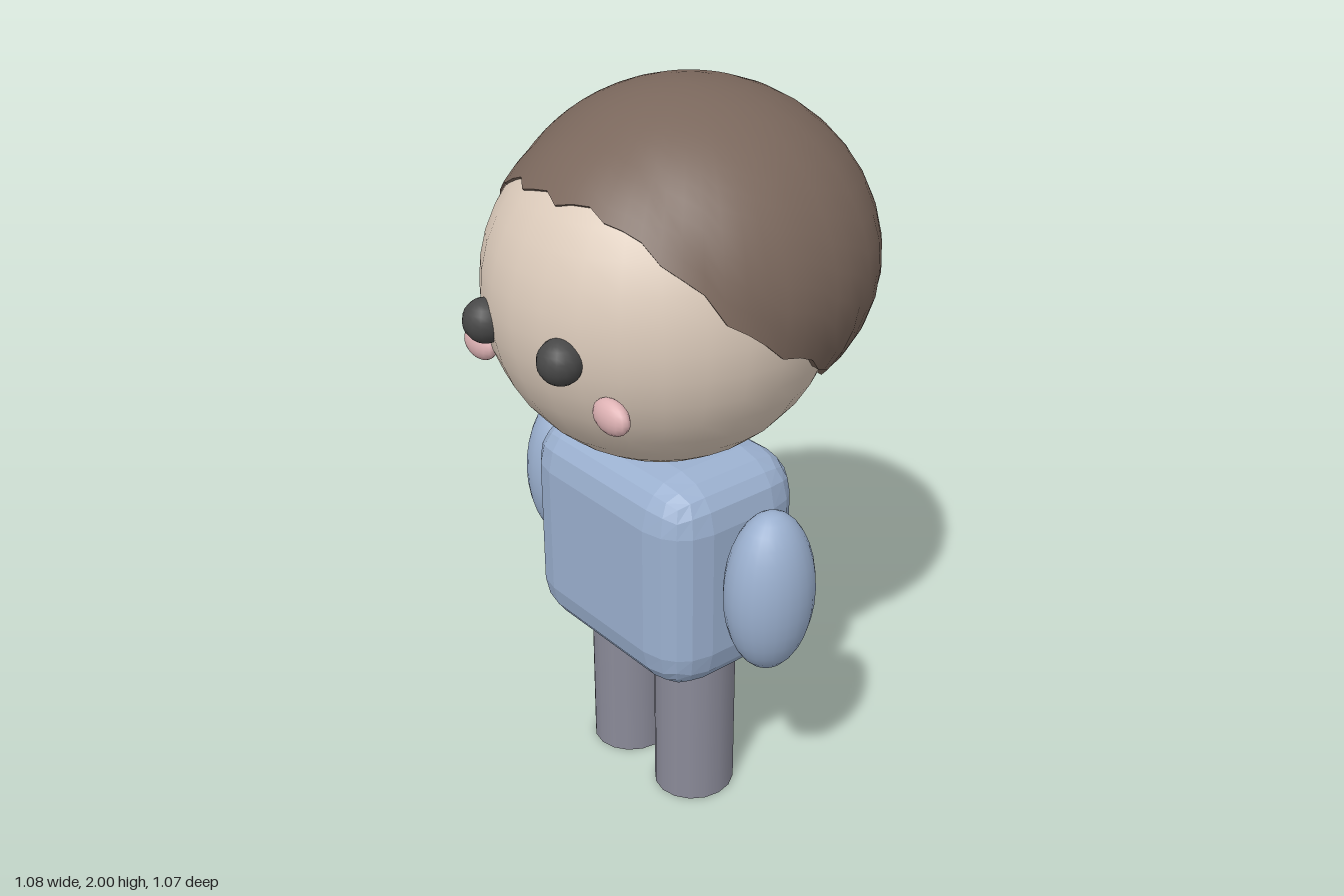
import * as THREE from 'three';
import { toCreasedNormals } from 'three/addons/utils/BufferGeometryUtils.js';
import { RoundedBoxGeometry } from 'three/addons/geometries/RoundedBoxGeometry.js';

const mat = (name, color) => {
  const m = new THREE.MeshStandardMaterial({ color });
  m.name = name;
  return m;
};

const HEAD = new THREE.Vector3(0, 1.495, 0.045), HEAD_R = 0.46;
const HAIR = new THREE.Vector3(0, 1.55, -0.045);

// Height of the hairline as it runs from the back (low) to the forehead (high)
const hairline = [[-0.36, 1.245], [-0.2, 1.29], [-0.1, 1.37], [0, 1.43], [0.1, 1.48], [0.2, 1.57], [0.3, 1.7], [0.37, 1.8]];
function rimHeight(z) {
  if (z <= hairline[0][0]) return hairline[0][1];
  for (let i = 1; i < hairline.length; i++) {
    const [z0, y0] = hairline[i - 1], [z1, y1] = hairline[i];
    if (z <= z1) return y0 + (y1 - y0) * (z - z0) / (z1 - z0);
  }
  return 1.8;
}

// Point on the hair surface in a given direction: squashed ball, never below the scalp
function hairPoint(theta, phi) {
  const d = new THREE.Vector3(Math.sin(theta) * Math.sin(phi), Math.cos(theta), Math.sin(theta) * Math.cos(phi));
  const b = d.y > 0 ? 0.45 : 0.415;
  const r = 1 / Math.sqrt((d.x * d.x + d.z * d.z) / 0.2401 + d.y * d.y / (b * b));
  const p = d.multiplyScalar(r).add(HAIR);
  const out = p.clone().sub(HEAD);
  if (out.length() < HEAD_R + 0.005) p.copy(HEAD).add(out.setLength(HEAD_R + 0.005));
  return p;
}

// Hair cap: each meridian runs from the crown to the hairline, then tucks into the head
function hairGeometry() {
  const cols = 60, rows = 14, pos = [], index = [];
  for (let i = 0; i < cols; i++) {
    const phi = i / cols * Math.PI * 2;
    const jag = [0.012, -0.008, 0.004][i % 3];
    let end = 0.3;
    for (; end < 2.6; end += 0.01) {
      const p = hairPoint(end, phi);
      if (p.y < rimHeight(p.z) + jag) break;
    }
    for (let j = 0; j <= rows; j++) pos.push(...hairPoint(end * j / rows, phi).toArray());
    const tuck = hairPoint(end, phi).sub(HEAD).setLength(HEAD_R - 0.02).add(HEAD);
    pos.push(...tuck.toArray());
  }
  const n = rows + 2;
  for (let i = 0; i < cols; i++) {
    const a = i * n, b = ((i + 1) % cols) * n;
    for (let j = 0; j <= rows; j++) {
      if (j > 0) index.push(a + j, b + j + 1, b + j);
      index.push(a + j, a + j + 1, b + j + 1);
    }
  }
  const g = new THREE.BufferGeometry();
  g.setAttribute('position', new THREE.Float32BufferAttribute(pos, 3));
  g.setIndex(index);
  return toCreasedNormals(g, 0.7);
}

export function createModel() {
  const model = new THREE.Group();
  model.name = 'figure';
  const skin = mat('skin', 0xdccbbb), hair = mat('hairBrown', 0x7a675c), shirt = mat('shirtBlue', 0x9bb0cf);
  const trousers = mat('trouserGrey', 0x8a8a98), dark = mat('eyeDark', 0x484848), pink = mat('cheekPink', 0xdfb3b5);

  const add = (name, geometry, material, x, y, z) => {
    const m = new THREE.Mesh(geometry, material);
    m.name = name;
    m.position.set(x, y, z);
    model.add(m);
    return m;
  };
  const ellipsoid = (rx, ry, rz, w = 24, h = 16) => new THREE.SphereGeometry(1, w, h).scale(rx, ry, rz);

  // Head and hair
  add('head', new THREE.SphereGeometry(HEAD_R, 28, 20), skin, ...HEAD.toArray());
  add('hair', hairGeometry(), hair, 0, 0, 0);

  // Torso with faceted rounded edges
  const torso = new RoundedBoxGeometry(0.66, 0.63, 0.465, 2, 0.13);
  torso.computeVertexNormals();
  add('torso', torso, shirt, 0, 0.75, 0.043);

  // Paired parts
  for (const [side, s] of [['left', 1], ['right', -1]]) {
    add(side + 'Arm', ellipsoid(0.11, 0.23, 0.127), shirt, s * 0.432, 0.78, 0.045);
    add(side + 'Leg', new THREE.CylinderGeometry(0.11, 0.11, 0.52, 16).scale(1, 1, 1.05), trousers, s * 0.142, 0.26, 0.047);
    add(side + 'Eye', ellipsoid(0.058, 0.058, 0.058, 16, 12), dark, s * 0.156, 1.455, 0.477);
    add(side + 'Cheek', ellipsoid(0.062, 0.045, 0.031, 16, 12), pink, s * 0.273, 1.338, 0.42);
  }
  return model;
}
